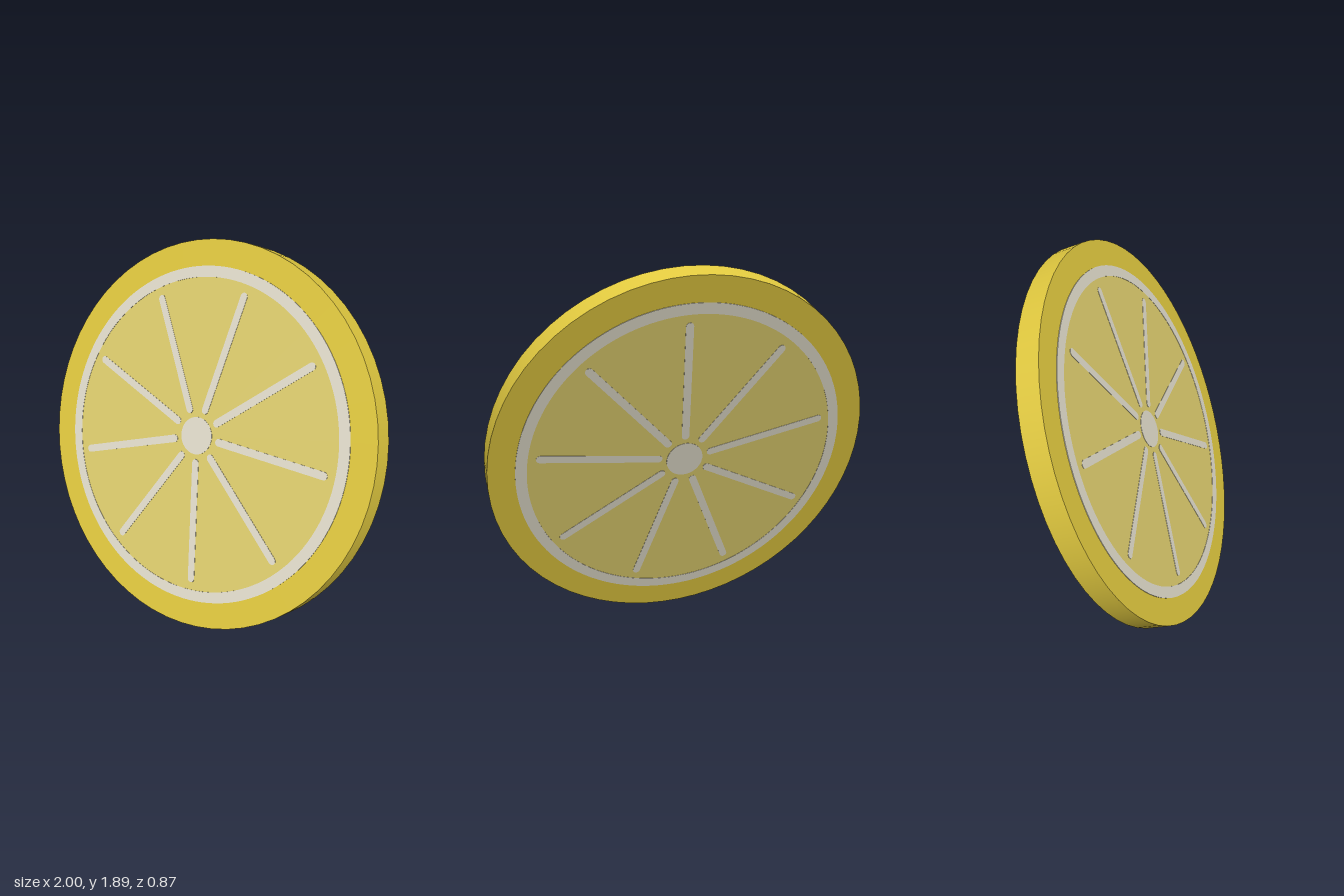
import * as THREE from 'three';

const THICKNESS = 0.118;
const TILT = -0.39;

const rindYellow = new THREE.MeshStandardMaterial({ color: 0xe1c93f });
rindYellow.name = 'rind yellow';
const pulpYellow = new THREE.MeshStandardMaterial({ color: 0xdfce6e });
pulpYellow.name = 'pulp yellow';
const pithWhite = new THREE.MeshStandardMaterial({ color: 0xe2ddcc });
pithWhite.name = 'pith white';

function mesh(name, geometry, material) {
  const m = new THREE.Mesh(geometry, material);
  m.name = name;
  return m;
}

// Round slab facing +z, centred on the origin
function disc(radius, depth, segments) {
  return new THREE.CylinderGeometry(radius, radius, depth, segments).rotateX(Math.PI / 2);
}

// Flat shape extruded evenly to both sides of the slice
function slab(shape, depth, curveSegments) {
  return new THREE.ExtrudeGeometry(shape, { depth, bevelEnabled: false, curveSegments })
    .translate(0, 0, -depth / 2);
}

// Bar with rounded ends lying along +x
function membraneShape(inner, outer, halfWidth) {
  const s = new THREE.Shape();
  s.absarc(outer - halfWidth, 0, halfWidth, -Math.PI / 2, Math.PI / 2, false);
  s.absarc(inner + halfWidth, 0, halfWidth, Math.PI / 2, Math.PI * 1.5, false);
  s.closePath();
  return s;
}

export function createModel() {
  const model = new THREE.Group();
  model.name = 'citrusSlice';

  // Everything is built upright, then leaned back as one piece
  const slice = new THREE.Group();
  slice.name = 'slice';
  slice.rotation.x = TILT;
  slice.position.y = Math.cos(TILT) + 0.06 * Math.sin(-TILT);
  model.add(slice);

  // Rind and pulp
  slice.add(mesh('rind', disc(1, THICKNESS, 64), rindYellow));
  slice.add(mesh('pulp', disc(0.815, THICKNESS + 0.003, 64), pulpYellow));

  // Ring of pith between rind and pulp
  const ring = new THREE.Shape().absarc(0, 0, 0.866, 0, Math.PI * 2, false);
  ring.holes.push(new THREE.Path().absarc(0, 0, 0.81, 0, Math.PI * 2, true));
  slice.add(mesh('pithRing', slab(ring, THICKNESS + 0.006, 64), pithWhite));

  // Core and the nine membranes, showing on both faces
  slice.add(mesh('core', disc(0.097, THICKNESS + 0.006, 32), pithWhite));
  const membranes = new THREE.Group();
  membranes.name = 'membranes';
  const bar = slab(membraneShape(0.122, 0.77, 0.02), THICKNESS + 0.006, 6);
  for (let i = 0; i < 9; i++) {
    const membrane = mesh('membrane', bar, pithWhite);
    membrane.rotation.z = THREE.MathUtils.degToRad(4.4 + i * 40);
    membranes.add(membrane);
  }
  slice.add(membranes);

  return model;
}
